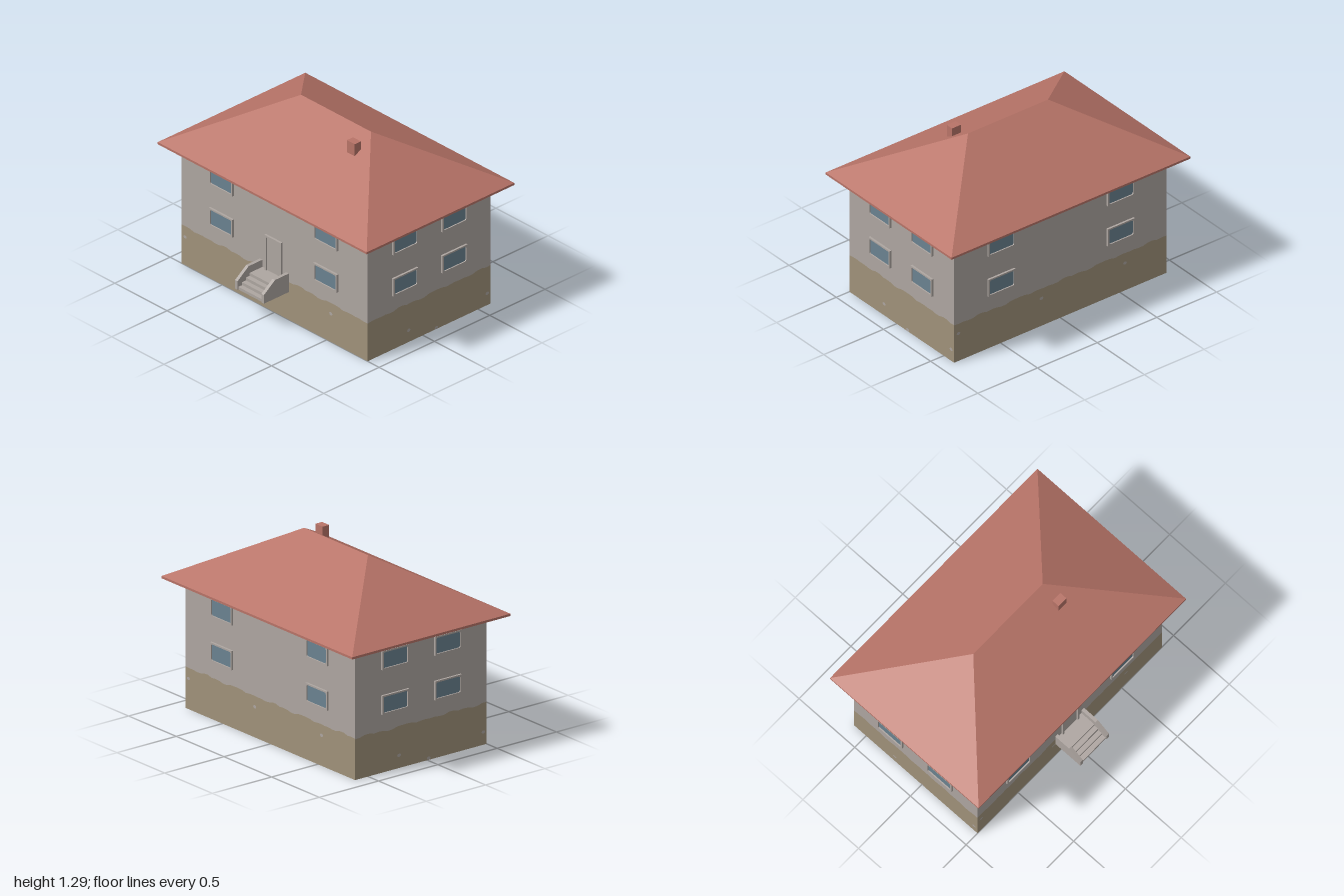
import * as THREE from 'three';

const mat = (name, color, side = THREE.FrontSide) => {
  const m = new THREE.MeshStandardMaterial({ color, side });
  m.name = name;
  return m;
};

export function createModel() {
  const plaster = mat('grey plaster', 0xaea6a1, THREE.DoubleSide);
  const plinthMat = mat('brown plinth', 0xa0927a, THREE.DoubleSide);
  const roofMat = mat('red roof', 0xb87468, THREE.DoubleSide);
  const glassMat = mat('blue glass', 0x6a8290);

  const house = new THREE.Group();
  house.name = 'house';
  const add = (parent, name, geo, material, x = 0, y = 0, z = 0) => {
    const m = new THREE.Mesh(geo, material);
    m.name = name;
    m.position.set(x, y, z);
    parent.add(m);
    return m;
  };
  const box = (parent, name, material, x0, x1, y0, y1, z0, z1) =>
    add(parent, name, new THREE.BoxGeometry(x1 - x0, y1 - y0, z1 - z0), material,
      (x0 + x1) / 2, (y0 + y1) / 2, (z0 + z1) / 2);
  const poly = (pts) => new THREE.Shape(pts.map(([x, y]) => new THREE.Vector2(x, y)));

  // Rounded rectangle centred on the origin
  const rounded = (w, h, r, target) => {
    const x = w / 2, y = h / 2;
    target.moveTo(-x + r, -y);
    target.lineTo(x - r, -y).quadraticCurveTo(x, -y, x, -y + r);
    target.lineTo(x, y - r).quadraticCurveTo(x, y, x - r, y);
    target.lineTo(-x + r, y).quadraticCurveTo(-x, y, -x, y - r);
    target.lineTo(-x, -y + r).quadraticCurveTo(-x, -y, -x + r, -y);
    return target;
  };

  // Window: raised frame around a recessed pane
  const W = 0.225, H = 0.134;
  const frameShape = poly([[-W / 2, -H / 2], [W / 2, -H / 2], [W / 2, H / 2], [-W / 2, H / 2]]);
  frameShape.holes.push(rounded(W - 0.022, H - 0.022, 0.012, new THREE.Path()));
  const frameGeo = new THREE.ExtrudeGeometry(frameShape, { depth: 0.015, bevelEnabled: false, curveSegments: 3 });
  const paneGeo = new THREE.PlaneGeometry(W - 0.01, H - 0.01);
  const addWindow = (wall, x, y) => {
    const g = new THREE.Group();
    g.name = 'window';
    g.position.set(x, y, 0);
    add(g, 'windowFrame', frameGeo, plaster);
    add(g, 'windowPane', paneGeo, glassMat, 0, 0, 0.006);
    wall.add(g);
  };

  // Uneven top edge of the brown plinth, repeating along the wall
  const wave = [0.295, 0.296, 0.294, 0.285, 0.289, 0.291, 0.288, 0.29, 0.285, 0.286,
    0.297, 0.298, 0.288, 0.292, 0.29, 0.281, 0.283, 0.294];
  const TOP = 0.905;

  // Wall facing local +z, with plinth, chipped spots and windows
  const addWall = (name, width, pos, turn, windowXs, spots, shift) => {
    const wall = new THREE.Group();
    wall.name = name;
    wall.position.set(...pos);
    wall.rotation.y = turn;
    const edge = [];
    const n = Math.round(width / 0.04);
    for (let i = 0; i <= n; i++) edge.push([-width / 2 + (width * i) / n, wave[(i + shift) % wave.length]]);
    const w = width / 2;
    add(wall, 'plinth', new THREE.ShapeGeometry(poly([[w, 0], [-w, 0], ...edge].reverse())), plinthMat);
    add(wall, 'wallFace', new THREE.ShapeGeometry(poly([...edge, [w, TOP], [-w, TOP]])), plaster);
    for (const [u, y] of spots) {
      add(wall, 'chippedSpot', new THREE.CircleGeometry(0.016, 8), plaster, u - w, y, 0.002).scale.y = 0.75;
    }
    for (const x of windowXs) for (const y of [0.475, 0.787]) addWindow(wall, x, y);
    house.add(wall);
  };
  const X = 0.89, ZF = 0.5, ZB = -0.61, ZC = (ZF + ZB) / 2;
  const longSpots = [[0.035, 0.215], [0.73, 0.215], [1.43, 0.215]];
  const sideSpots = [[0.37, 0.09], [1.08, 0.09], [0.62, 0.013]];
  addWall('frontWall', 2 * X, [0, 0, ZF], 0, [-0.502, 0.498], longSpots, 0);
  addWall('backWall', 2 * X, [0, 0, ZB], Math.PI, [-0.5, 0.5], longSpots, 5);
  addWall('leftWall', ZF - ZB, [X, 0, ZC], Math.PI / 2, [-0.222, 0.222], sideSpots, 3);
  addWall('rightWall', ZF - ZB, [-X, 0, ZC], -Math.PI / 2, [-0.222, 0.222], sideSpots, 8);

  // Hipped roof: eave corners, then the ridge
  const EZ0 = -0.722, EZ1 = 0.612, EY = 0.9, EY2 = 0.916;
  const corners = [[-1, EZ1], [1, EZ1], [1, EZ0], [-1, EZ0]];
  const low = corners.map(([x, z]) => [x, EY, z]);
  const high = corners.map(([x, z]) => [x, EY2, z]);
  const ridgeL = [-0.335, 1.29, ZC], ridgeR = [0.335, 1.29, ZC];
  const faces = (list) => {
    const p = [];
    for (const f of list) for (let i = 1; i < f.length - 1; i++) p.push(...f[0], ...f[i], ...f[i + 1]);
    const g = new THREE.BufferGeometry();
    g.setAttribute('position', new THREE.Float32BufferAttribute(p, 3));
    g.computeVertexNormals();
    return g;
  };
  add(house, 'roof', faces([
    [high[0], high[1], ridgeR, ridgeL],
    [high[1], high[2], ridgeR],
    [high[2], high[3], ridgeL, ridgeR],
    [high[3], high[0], ridgeL],
  ]), roofMat);
  add(house, 'eaveEdge', faces(low.map((c, i) => {
    const j = (i + 1) % 4;
    return [c, low[j], high[j], high[i]];
  })), roofMat);
  add(house, 'soffit', faces([[...low].reverse()]), plaster);
  box(house, 'chimney', roofMat, 0.295, 0.37, 1.17, 1.28, 0.07, 0.125);

  // Door: frame with a slightly recessed leaf
  const door = new THREE.Group();
  door.name = 'door';
  box(door, 'doorLeaf', plaster, -0.066, 0.06, 0.295, 0.547, ZF, ZF + 0.006);
  box(door, 'doorPostRight', plaster, -0.082, -0.066, 0.295, 0.56, ZF, ZF + 0.016);
  box(door, 'doorPostLeft', plaster, 0.06, 0.076, 0.295, 0.56, ZF, ZF + 0.016);
  box(door, 'doorLintel', plaster, -0.066, 0.06, 0.546, 0.56, ZF, ZF + 0.016);
  house.add(door);

  // Entrance steps between two sloped side walls
  const steps = new THREE.Group();
  steps.name = 'entranceSteps';
  [0.23, 0.252, 0.274, 0.296].forEach((y, i) =>
    box(steps, 'step', plaster, -0.118, 0.114, 0.21, y, ZF, 0.718 - i * 0.034));
  const cheek = new THREE.ExtrudeGeometry(
    poly([[-0.725, 0.21], [-ZF, 0.21], [-ZF, 0.35], [-0.625, 0.35], [-0.725, 0.275]]),
    { depth: 0.024, bevelEnabled: false });
  cheek.rotateY(Math.PI / 2);
  for (const x of [-0.14, 0.112]) add(steps, 'stepSideWall', cheek, plaster, x);
  house.add(steps);

  return house;
}
